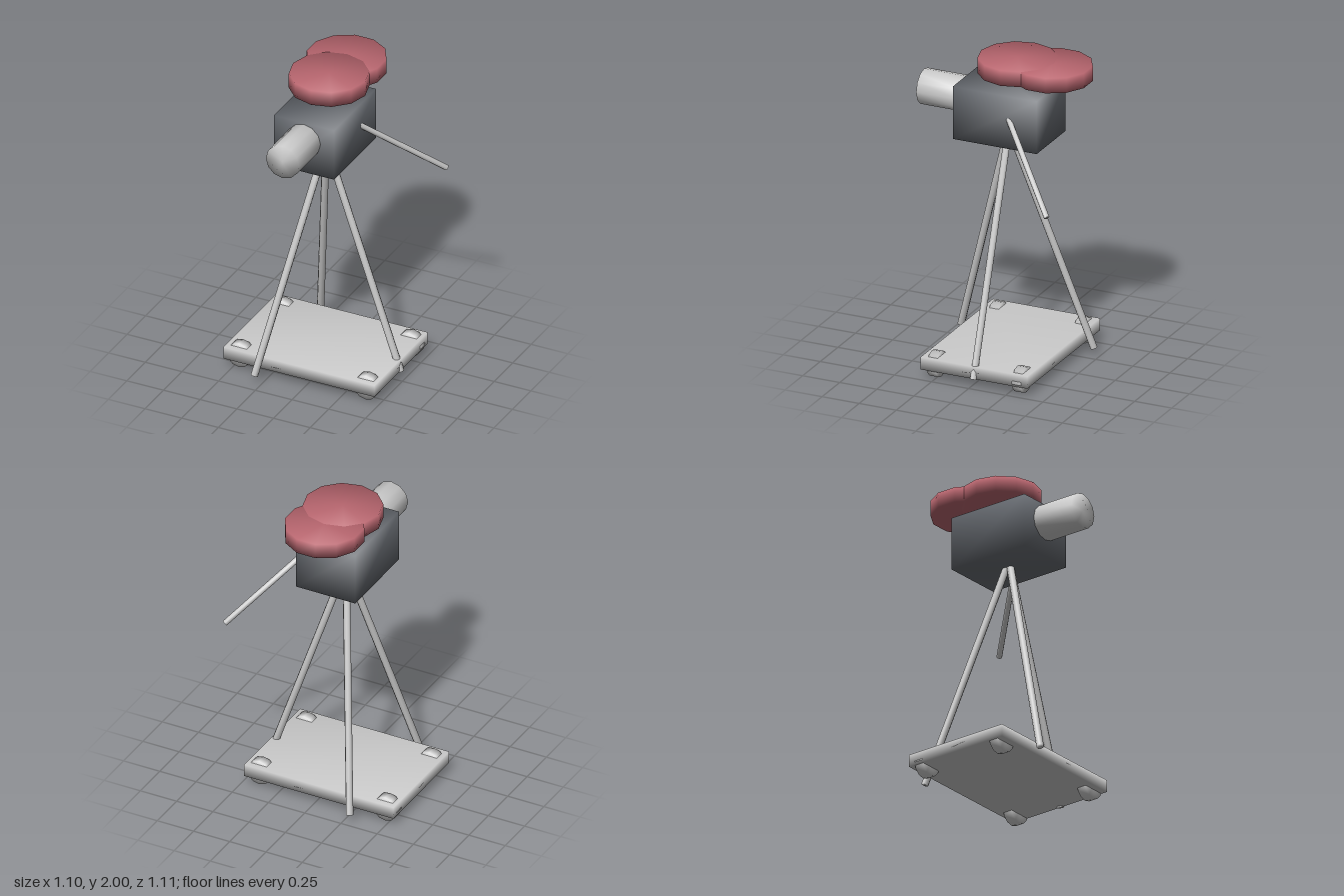
import * as THREE from 'three';
import { mergeVertices } from 'three/addons/utils/BufferGeometryUtils.js';

const grey = new THREE.MeshStandardMaterial({ color: 0xcccccc });
const dark = new THREE.MeshStandardMaterial({ color: 0x64686e });
const red = new THREE.MeshStandardMaterial({ color: 0xb8666f });

// Weld corners so that shading runs smoothly over the low-poly edges
function soften(geometry) {
  geometry.deleteAttribute('normal');
  geometry.deleteAttribute('uv');
  const welded = mergeVertices(geometry, 1e-4);
  welded.computeVertexNormals();
  return welded;
}

export function createModel() {
  const model = new THREE.Group();
  model.name = 'movieCamera';

  const add = (name, geometry, material, x, y, z) => {
    const mesh = new THREE.Mesh(soften(geometry), material);
    mesh.name = name;
    mesh.position.set(x, y, z);
    model.add(mesh);
    return mesh;
  };

  // Straight rod between two points
  const rod = (name, from, to, radius, sides) => {
    const a = new THREE.Vector3(...from);
    const b = new THREE.Vector3(...to);
    const dir = b.clone().sub(a);
    const mid = a.clone().add(b).multiplyScalar(0.5);
    const mesh = add(name, new THREE.CylinderGeometry(radius, radius, dir.length(), sides), grey, mid.x, mid.y, mid.z);
    mesh.quaternion.setFromUnitVectors(new THREE.Vector3(0, 1, 0), dir.normalize());
  };

  // Dolly board and its four wheels
  add('dollyBoard', new THREE.BoxGeometry(1.03, 0.08, 0.72), grey, -0.036, 0.1, -0.025);
  for (const [x, z] of [[-0.467, 0.263], [0.397, 0.263], [-0.47, -0.312], [0.4, -0.312]]) {
    const wheel = new THREE.CylinderGeometry(0.082, 0.082, 0.062, 12).rotateX(Math.PI / 2);
    add('wheel', wheel, grey, x, 0.083, z);
  }

  // Tripod
  const apex = [-0.03, 1.53, -0.02];
  rod('leftLeg', apex, [0.478, 0.057, -0.022], 0.023, 8);
  rod('rightFrontLeg', apex, [-0.293, 0.057, 0.427], 0.023, 8);
  rod('rightBackLeg', apex, [-0.293, 0.057, -0.467], 0.023, 8);

  // Camera body, lens and pan handle
  add('cameraBody', new THREE.BoxGeometry(0.41, 0.345, 0.565), dark, -0.037, 1.647, -0.018);
  add('lens', new THREE.CylinderGeometry(0.113, 0.113, 0.295, 12).rotateX(Math.PI / 2), grey, -0.037, 1.697, 0.408);
  rod('panHandle', [0.155, 1.665, -0.105], [0.53, 1.235, -0.54], 0.018, 8);

  // Overlapping film reels above the body
  add('frontReel', new THREE.CylinderGeometry(0.246, 0.246, 0.1, 12), red, -0.037, 1.95, -0.075);
  const back = new THREE.CylinderGeometry(0.248, 0.248, 0.098, 12).rotateY(Math.PI / 12);
  add('backReel', back, red, -0.037, 1.95, -0.312);

  return model;
}
